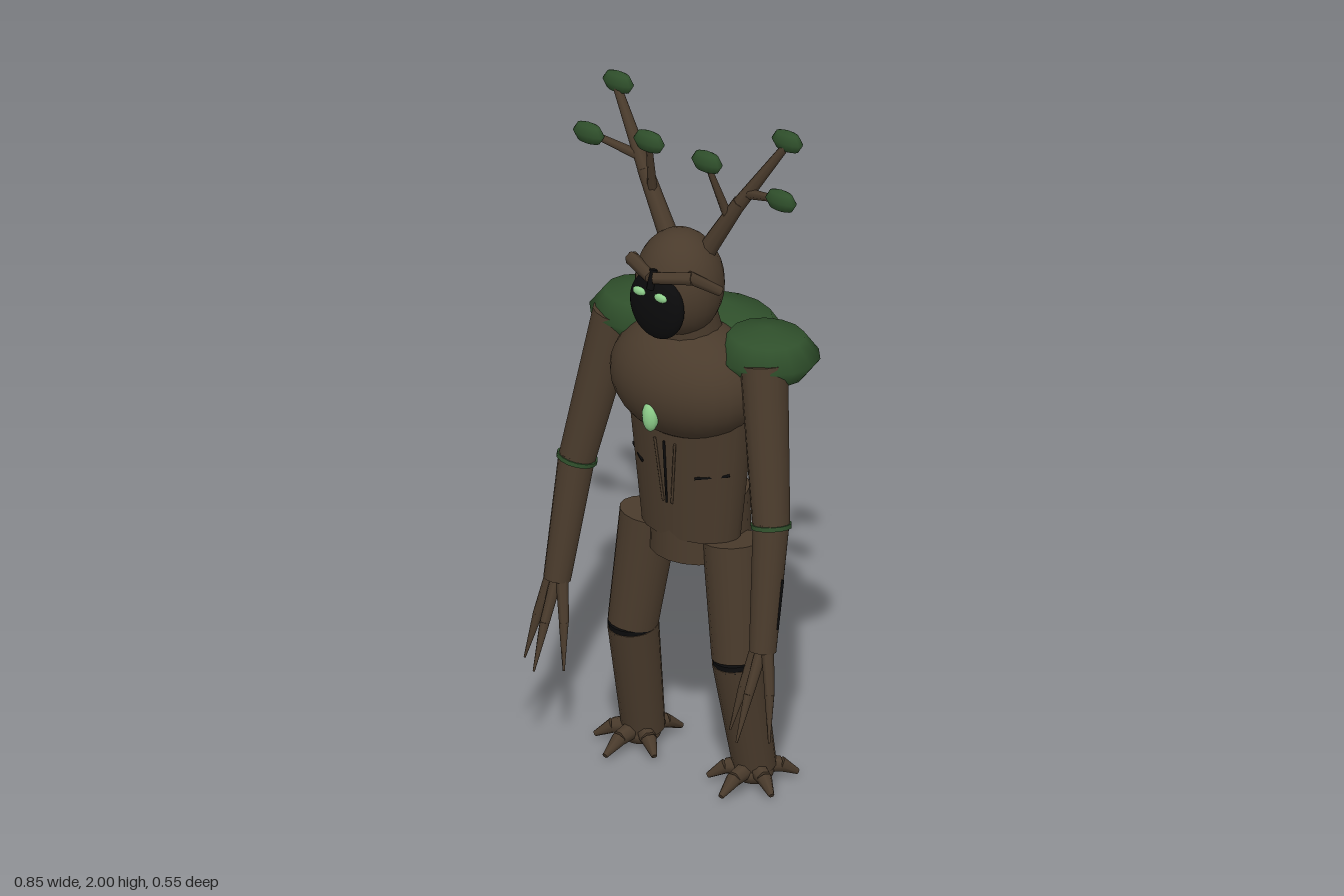
import * as THREE from 'three';

export function createModel() {
  const root = new THREE.Group();
  root.name = 'treeGuardian';
  const mat = (name, color, side = THREE.FrontSide) => {
    const m = new THREE.MeshStandardMaterial({ color, side });
    m.name = name;
    return m;
  };
  const bark = mat('bark', 0x4a3b2c);
  const leaf = mat('leaf', 0x2f4f2b);
  const glow = mat('glow', 0x8fd08c);
  const dark = mat('hollow', 0x0b0b0c);

  const add = (name, geo, material, parent = root) => {
    const mesh = new THREE.Mesh(geo, material);
    mesh.name = name;
    parent.add(mesh);
    return mesh;
  };
  // Ellipsoid with a centre and three radii
  const blob = (name, c, r, material, parent, w = 24, h = 16) => {
    const m = add(name, new THREE.SphereGeometry(1, w, h), material, parent);
    m.position.set(...c);
    m.scale.set(...r);
    return m;
  };
  // Tapered round limb from a (radius ra) to b (radius rb)
  const limb = (name, a, b, ra, rb, material = bark, parent = root, sides = 14) => {
    const A = new THREE.Vector3(...a), B = new THREE.Vector3(...b);
    const dir = B.clone().sub(A);
    const m = add(name, new THREE.CylinderGeometry(rb, ra, dir.length(), sides), material, parent);
    m.position.copy(A).add(B).multiplyScalar(0.5);
    m.quaternion.setFromUnitVectors(new THREE.Vector3(0, 1, 0), dir.normalize());
    return m;
  };
  // Leaf cap: a round cushion with a sharp rim
  const leafCap = (name, c, r, parent) => blob(name, c, r, leaf, parent, 14, 4);

  // Torso, chest and hips
  const torso = add('torso', new THREE.CylinderGeometry(0.2, 0.155, 0.4, 20), bark);
  torso.position.set(0, 0.93, 0.025);
  torso.scale.z = 0.62;
  blob('chest', [0, 1.193, 0.045], [0.23, 0.172, 0.172], bark, root, 28, 18);
  add('hips', new THREE.CylinderGeometry(0.135, 0.14, 0.175, 20), bark).position.set(0, 0.747, -0.015);
  blob('heartStone', [0, 1.13, 0.205], [0.024, 0.045, 0.022], glow, root, 12, 10);
  // Cracks in the belly bark
  limb('bellySeam', [0, 1.03, 0.146], [0, 0.84, 0.133], 0.004, 0.003, dark, root, 5);
  for (const s of [-1, 1]) {
    limb('bellyCrack', [s * 0.09, 0.935, 0.125], [s * 0.165, 0.945, 0.066], 0.004, 0.006, dark, root, 5);
    limb('seamEdge', [s * 0.035, 1.03, 0.142], [s * 0.015, 0.84, 0.129], 0.004, 0.004, bark, root, 5);
  }

  // Head with hollow face
  const head = new THREE.Group();
  head.name = 'head';
  root.add(head);
  blob('skull', [0, 1.49, 0.075], [0.125, 0.155, 0.12], bark, head);
  limb('neck', [0, 1.28, 0.03], [0, 1.42, 0.06], 0.1, 0.085, bark, head);
  blob('face', [0, 1.457, 0.175], [0.09, 0.1, 0.035], dark, head);
  limb('browNotch', [0, 1.515, 0.205], [0, 1.57, 0.19], 0.011, 0.011, dark, head, 6);

  // One antler, arm and leg for each side
  for (const s of [-1, 1]) {
    const side = s > 0 ? 'left' : 'right';
    const P = (x, y, z) => [s * x, y, z];
    const group = (name) => {
      const g = new THREE.Group();
      g.name = side + name;
      root.add(g);
      return g;
    };

    blob(side + 'Eye', P(0.037, 1.5, 0.207), [0.022, 0.013, 0.009], glow, head, 10, 8);
    limb('innerBrow', P(0.005, 1.548, 0.197), P(0.105, 1.56, 0.155), 0.018, 0.02, bark, head, 6);
    limb('outerBrow', P(0.095, 1.565, 0.16), P(0.148, 1.508, 0.085), 0.018, 0.014, bark, head, 6);

    // Branching antler with leaf tufts
    const antler = group('Antler');
    limb('antlerBase', P(0.06, 1.58, 0.04), P(0.165, 1.76, 0.02), 0.028, 0.021, bark, antler, 8);
    limb('antlerTip', P(0.16, 1.75, 0.02), P(0.29, 1.95, -0.02), 0.021, 0.012, bark, antler, 8);
    limb('innerTwig', P(0.13, 1.71, 0.03), P(0.1, 1.88, 0.083), 0.014, 0.008, bark, antler, 6);
    limb('outerTwig', P(0.19, 1.79, 0.015), P(0.33, 1.83, 0.052), 0.015, 0.009, bark, antler, 6);
    for (const c of [[0.292, 1.965, -0.026], [0.332, 1.828, 0.053], [0.1, 1.886, 0.083]]) {
      leafCap('antlerTuft', P(...c), [0.052, 0.034, 0.022], antler);
    }

    // Arm with mossy elbow band and three long fingers
    const arm = group('Arm');
    leafCap('shoulderLeaves', P(0.216, 1.295, -0.035), [0.152, 0.08, 0.135], arm);
    limb('upperArm', P(0.255, 1.3, 0.03), P(0.335, 0.86, 0.1), 0.066, 0.052, bark, arm);
    limb('elbowBand', P(0.334, 0.866, 0.099), P(0.336, 0.854, 0.101), 0.057, 0.057, leaf, arm);
    limb('forearm', P(0.335, 0.87, 0.1), P(0.355, 0.51, 0.163), 0.051, 0.038, bark, arm);
    limb('forearmCrack', P(0.392, 0.72, 0.122), P(0.394, 0.58, 0.147), 0.004, 0.003, dark, arm, 5);
    for (const [kx, kz, tx, tz] of [[0.4, 0.19, 0.422, 0.22], [0.352, 0.222, 0.35, 0.272], [0.31, 0.19, 0.287, 0.22]]) {
      const knuckle = P(kx, 0.4, kz);
      limb('fingerBase', P(0.355 + (kx - 0.355) * 0.4, 0.52, 0.165), knuckle, 0.018, 0.014, bark, arm, 7);
      limb('fingerTip', knuckle, P(tx, 0.272, tz), 0.014, 0.003, bark, arm, 7);
    }

    // Leg with dark knee gap
    const leg = group('Leg');
    limb('thigh', P(0.143, 0.73, 0.025), P(0.18, 0.392, 0.052), 0.083, 0.07, bark, leg, 16);
    limb('kneeGap', P(0.18, 0.4, 0.053), P(0.181, 0.378, 0.05), 0.069, 0.069, dark, leg, 16);
    limb('shin', P(0.18, 0.388, 0.051), P(0.192, 0.045, -0.01), 0.071, 0.06, bark, leg, 16);
    limb('thighCrack', P(0.243, 0.55, 0.02), P(0.25, 0.45, 0.03), 0.004, 0.004, dark, leg, 5);

    // Root toes, arched over a knuckle
    for (const [x, z] of [[0.2, 0.15], [0.305, 0.06], [0.092, 0.07], [0.27, -0.1], [0.15, -0.125]]) {
      const kx = 0.195 + (x - 0.195) * 0.6, kz = z * 0.6;
      limb('toeBase', P(0.195, 0.055, 0), P(kx, 0.043, kz), 0.028, 0.022, bark, leg, 7);
      limb('toeTip', P(kx, 0.043, kz), P(x, 0.013, z), 0.022, 0.008, bark, leg, 7);
    }
    blob('footPad', P(0.195, 0.035, 0), [0.058, 0.035, 0.055], bark, leg, 12, 8);
  }

  // Leaf canopy and hanging vines on the back
  const back = new THREE.Group();
  back.name = 'backFoliage';
  root.add(back);
  leafCap('upperCanopy', [0, 1.248, -0.12], [0.205, 0.105, 0.156], back);
  leafCap('rightLowerCanopy', [-0.11, 1.035, -0.145], [0.108, 0.07, 0.095], back);
  leafCap('leftLowerCanopy', [0.11, 0.99, -0.105], [0.105, 0.065, 0.075], back);
  const vines = [
    [-0.12, -0.15, 1.2, 1.03], [-0.06, -0.16, 1.2, 1.02], [0, -0.155, 1.2, 1.0],
    [0.07, -0.14, 1.2, 0.98], [0.12, -0.13, 1.2, 0.98],
    [-0.08, -0.153, 1.03, 0.815], [-0.14, -0.14, 1.03, 0.9], [0.09, -0.11, 0.98, 0.88]
  ];
  for (const [x, z, top, bottom] of vines) {
    limb('vine', [x, top, z], [x, bottom, z], 0.014, 0.011, leaf, back, 6);
  }
  return root;
}
